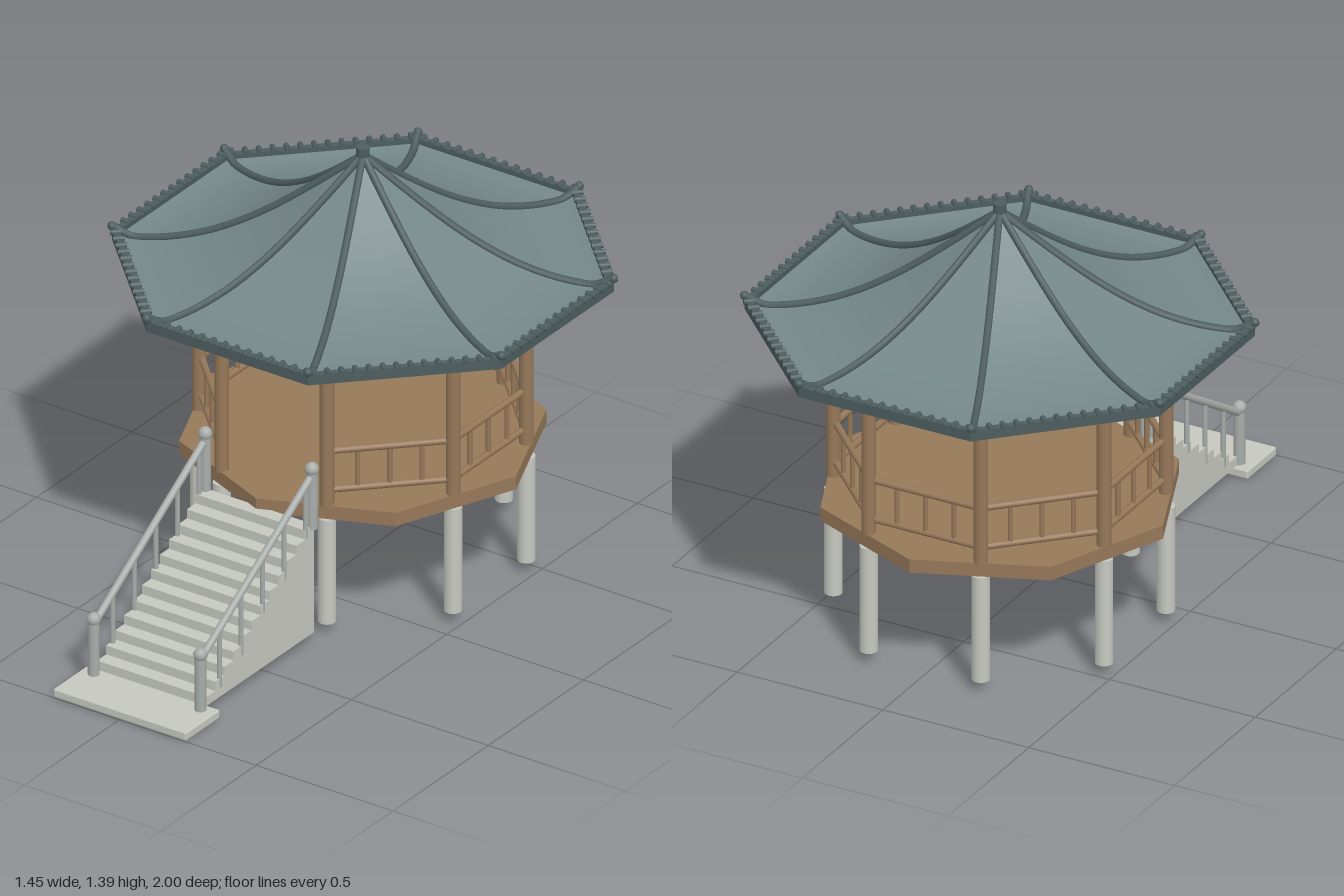
import * as THREE from 'three';
import { RoundedBoxGeometry } from 'three/addons/geometries/RoundedBoxGeometry.js';

const material = (name, color, side = THREE.FrontSide) => {
  const m = new THREE.MeshStandardMaterial({ color, side });
  m.name = name;
  return m;
};
const V = (x, y, z) => new THREE.Vector3(x, y, z);

export function createModel() {
  const wood = material('wood', 0x967859);
  const stone = material('stone', 0xc6c8c0);
  const railStone = material('rail stone', 0xa8adaa);
  const slate = material('roof slate', 0x748789, THREE.DoubleSide);
  const darkSlate = material('dark slate', 0x4d5d5f);

  const model = new THREE.Group();
  const pavilion = new THREE.Group();
  pavilion.name = 'pavilion';
  pavilion.position.z = -0.277;
  model.add(pavilion);

  const add = (parent, name, geometry, mat, x = 0, y = 0, z = 0) => {
    const mesh = new THREE.Mesh(geometry, mat);
    mesh.name = name;
    mesh.position.set(x, y, z);
    parent.add(mesh);
    return mesh;
  };
  // Round bar between two points
  const bar = (parent, name, a, b, r, mat, sides = 10) => {
    const mesh = add(parent, name, new THREE.CylinderGeometry(r, r, a.distanceTo(b), sides), mat);
    mesh.position.copy(a).lerp(b, 0.5);
    mesh.quaternion.setFromUnitVectors(V(0, 1, 0), b.clone().sub(a).normalize());
    return mesh;
  };

  // Octagonal floor with sharp edges
  const floor = new THREE.CylinderGeometry(0.56, 0.56, 0.045, 8).toNonIndexed();
  floor.computeVertexNormals();
  add(pavilion, 'floor', floor, wood, 0, 0.4125, 0);

  const T = Math.tan(Math.PI / 8);
  const POST = 0.464;       // distance from centre to each post line
  const EAVE = 0.712;       // distance from centre to each eave
  const profile = new THREE.CatmullRomCurve3([
    [0, 1.355], [0.18, 1.245], [0.4, 1.125], [0.6, 1.045], [0.78, 1.004], [0.92, 0.994], [1, 1.004],
  ].map(([t, y]) => V(t, y, 0)));
  const rows = profile.getPoints(24);

  // One roof panel, a triangle swept down the curved profile
  const position = [], index = [];
  rows.forEach((p, i) => {
    const d = Math.max(p.x, 0.01) * EAVE;
    position.push(-d * T, p.y, d, d * T, p.y, d);
    if (i) {
      const a = 2 * i - 2;
      index.push(a, a + 2, a + 1, a + 1, a + 2, a + 3);
    }
  });
  const panel = new THREE.BufferGeometry();
  panel.setAttribute('position', new THREE.Float32BufferAttribute(position, 3));
  panel.setIndex(index);
  panel.computeVertexNormals();

  // Hip ridge with an upturned tip
  const ridgePoints = rows.filter((p, i) => i % 2 === 0 && p.x < 0.95)
    .map((p) => V(p.x * EAVE * T, p.y + 0.004, p.x * EAVE));
  ridgePoints.push(V(EAVE * T, 1.026, EAVE));
  const ridge = new THREE.TubeGeometry(new THREE.CatmullRomCurve3(ridgePoints), 40, 0.012, 8);
  const tile = new THREE.CylinderGeometry(0.009, 0.009, 0.035, 8).rotateX(Math.PI / 2);

  for (let k = 0; k < 8; k++) {
    const side = new THREE.Group();
    side.name = 'side' + k;
    side.rotation.y = k * Math.PI / 4;
    pavilion.add(side);
    const w = POST * T;

    // Supports and beam
    add(side, 'stilt', new THREE.CylinderGeometry(0.028, 0.028, 0.355, 12), stone, w, 0.2125, POST);
    add(side, 'post', new THREE.CylinderGeometry(0.022, 0.022, 0.5, 14), wood, w, 0.68, POST);
    bar(side, 'beam', V(-w - 0.01, 0.914, POST), V(w + 0.01, 0.914, POST), 0.018, wood);

    // Railing on every side but the entrance
    if (k !== 0) {
      for (const y of [0.48, 0.612]) bar(side, 'rail', V(-w, y, POST - 0.005), V(w, y, POST - 0.005), 0.011, wood);
      for (const x of [-0.098, 0, 0.098]) bar(side, 'baluster', V(x, 0.48, POST - 0.005), V(x, 0.612, POST - 0.005), 0.008, wood, 8);
    }

    // Roof panel, ridge and eave
    add(side, 'roofPanel', panel, slate);
    add(side, 'ridge', ridge, darkSlate);
    const tip = add(side, 'ridgeTip', new THREE.SphereGeometry(0.014, 10, 8), darkSlate);
    tip.position.copy(ridgePoints[ridgePoints.length - 1]);
    const e = EAVE * T;
    add(side, 'eaveBoard', new THREE.BoxGeometry(2 * e, 0.034, 0.022), darkSlate, 0, 0.998, EAVE - 0.011);
    for (let i = 0; i < 14; i++) {
      add(side, 'eaveTile', tile, darkSlate, ((i + 0.5) / 14 * 2 - 1) * e, 1.015, EAVE - 0.009);
    }
  }

  // Rafters fan out evenly and end on an octagon
  for (let i = 0; i < 40; i++) {
    const a = i * Math.PI / 20;
    const off = a - Math.round(a / (Math.PI / 4)) * Math.PI / 4;
    const at = (d, y) => V(Math.sin(a) * d / Math.cos(off), y, Math.cos(a) * d / Math.cos(off));
    bar(pavilion, 'rafter', at(0.44, 0.912), at(0.672, 0.973), 0.01, wood, 8);
  }
  add(pavilion, 'finial', new THREE.CylinderGeometry(0.021, 0.021, 0.045, 10), darkSlate, 0, 1.364, 0);

  // Stair body: stepped side outline extruded across
  const stairs = new THREE.Group();
  stairs.name = 'stairs';
  model.add(stairs);
  const steps = 12, z0 = 0.265, z1 = 0.83, yBase = 0.033, yTop = 0.4;
  const run = (z1 - z0) / steps, rise = (yTop - yBase) / steps;
  const outline = new THREE.Shape();
  outline.moveTo(z0, yBase);
  outline.lineTo(z1, yBase);
  for (let i = 0; i < steps; i++) {
    outline.lineTo(z1 - i * run, yBase + (i + 1) * rise);
    outline.lineTo(z1 - (i + 1) * run, yBase + (i + 1) * rise);
  }
  const body = new THREE.ExtrudeGeometry(outline, { depth: 0.4, bevelEnabled: false });
  body.translate(0, 0, -0.2).rotateY(-Math.PI / 2);
  add(stairs, 'steps', body, stone);
  add(stairs, 'landingSlab', new RoundedBoxGeometry(0.486, 0.03, 0.18, 2, 0.006), stone, 0, 0.015, 0.91);

  // Stair handrails
  const railY = (z) => 0.2 + (0.855 - z) / 0.585 * 0.37;
  for (const x of [-0.195, 0.195]) {
    for (const [z, y0, y1] of [[0.855, 0.025, 0.222], [0.27, 0.39, 0.595]]) {
      bar(stairs, 'stairPost', V(x, y0, z), V(x, y1, z), 0.018, railStone, 12);
      add(stairs, 'stairPostKnob', new THREE.SphereGeometry(0.022, 12, 8), railStone, x, y1 - 0.004, z);
    }
    bar(stairs, 'handrail', V(x, railY(0.855), 0.855), V(x, railY(0.27), 0.27), 0.012, railStone);
    for (let i = 0; i < 5; i++) {
      const z = 0.755 - i * 0.113;
      const foot = yBase + Math.floor((z1 - z) / run) * rise;
      bar(stairs, 'stairBaluster', V(x, foot, z), V(x, railY(z), z), 0.008, railStone, 8);
    }
  }
  return model;
}
